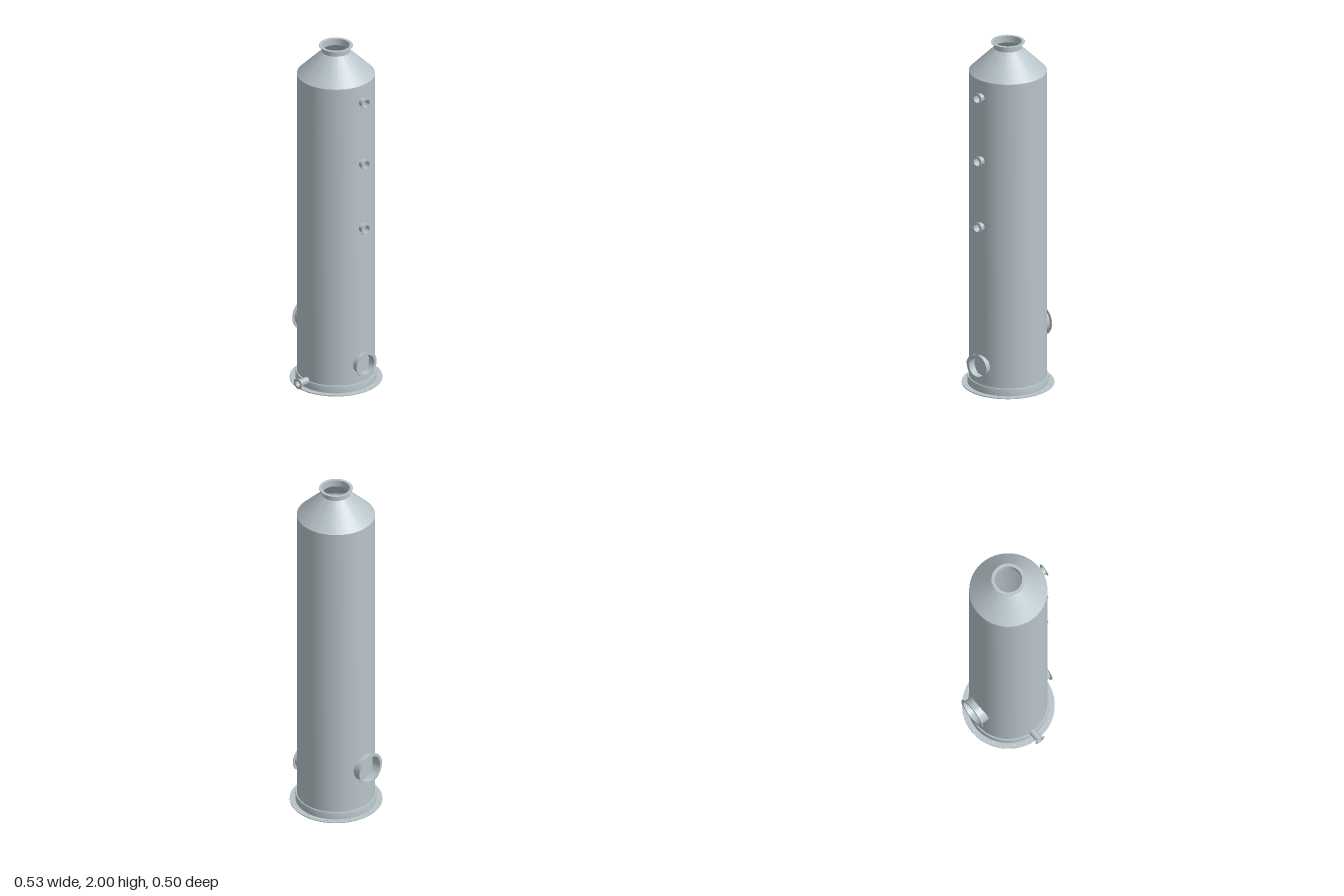
import * as THREE from 'three';
import { toCreasedNormals } from 'three/addons/utils/BufferGeometryUtils.js';

export function createModel() {
  const model = new THREE.Group();
  const steel = new THREE.MeshStandardMaterial({ color: 0xb8c4ca, side: THREE.DoubleSide });
  steel.name = 'paleSteel';

  // The vessel axis sits slightly off centre because of the side drain
  const vessel = new THREE.Group();
  vessel.name = 'vessel';
  vessel.position.x = 0.013;
  model.add(vessel);

  const add = (name, geometry) => {
    const mesh = new THREE.Mesh(geometry, steel);
    mesh.name = name;
    vessel.add(mesh);
    return mesh;
  };
  const lathe = (points, segments = 64) => toCreasedNormals(
    new THREE.LatheGeometry(points.map(([r, y]) => new THREE.Vector2(r, y)), segments), 0.5);

  // Open flanged pipe stub along +y, from the start distance to the end distance
  const nozzle = (name, tube, bore, flange, start, end, segments = 40) => {
    const lip = end - 0.004;
    return add(name, lathe([[tube, start], [tube, lip], [flange, lip],
      [flange, end], [bore, end], [bore, start]], segments));
  };

  // Shell, cone and base skirt
  add('shell', lathe([[0.213, 0.004], [0.213, 1.83]], 96));
  add('topCone', lathe([[0.213, 1.83], [0.076, 1.965]], 96));
  add('baseSkirt', lathe([[0.221, 0.004], [0.221, 0.04], [0.219, 0.047], [0.213, 0.047]], 96));
  nozzle('topOutlet', 0.077, 0.075, 0.092, 1.962, 2.0, 64);

  // Base flange with twelve bolt holes
  const ring = new THREE.Shape().absarc(0, 0, 0.252, 0, Math.PI * 2);
  ring.holes.push(new THREE.Path().absarc(0, 0, 0.213, 0, Math.PI * 2, true));
  for (let i = 0; i < 12; i++) {
    const a = i * Math.PI / 6;
    ring.holes.push(new THREE.Path().absarc(
      0.234 * Math.cos(a), 0.234 * Math.sin(a), 0.0035, 0, Math.PI * 2, true));
  }
  const flange = new THREE.ExtrudeGeometry(ring, { depth: 0.005, bevelEnabled: false, curveSegments: 48 });
  add('baseFlange', toCreasedNormals(flange.rotateX(-Math.PI / 2), 0.5));
  const floor = add('floorPlate', new THREE.CylinderGeometry(0.213, 0.213, 0.004, 96));
  floor.position.y = 0.003;

  // Three small front ports
  [0.975, 1.362, 1.732].forEach((y, i) => {
    const port = nozzle('frontPort' + (i + 1), 0.024, 0.022, 0.036, 0.205, 0.249);
    port.rotation.x = Math.PI / 2;
    port.position.y = y;
  });

  // Front manhole and larger rear inlet
  const manhole = nozzle('frontManhole', 0.059, 0.056, 0.073, 0.2, 0.249, 56);
  manhole.rotation.x = Math.PI / 2;
  manhole.position.y = 0.16;
  const inlet = nozzle('rearInlet', 0.078, 0.075, 0.092, 0.195, 0.253, 56);
  inlet.rotation.x = -Math.PI / 2;
  inlet.position.y = 0.294;

  // Drain on the right side
  const drain = nozzle('sideDrain', 0.02, 0.017, 0.031, 0.205, 0.28);
  drain.rotation.z = Math.PI / 2;
  drain.position.y = 0.046;

  return model;
}
